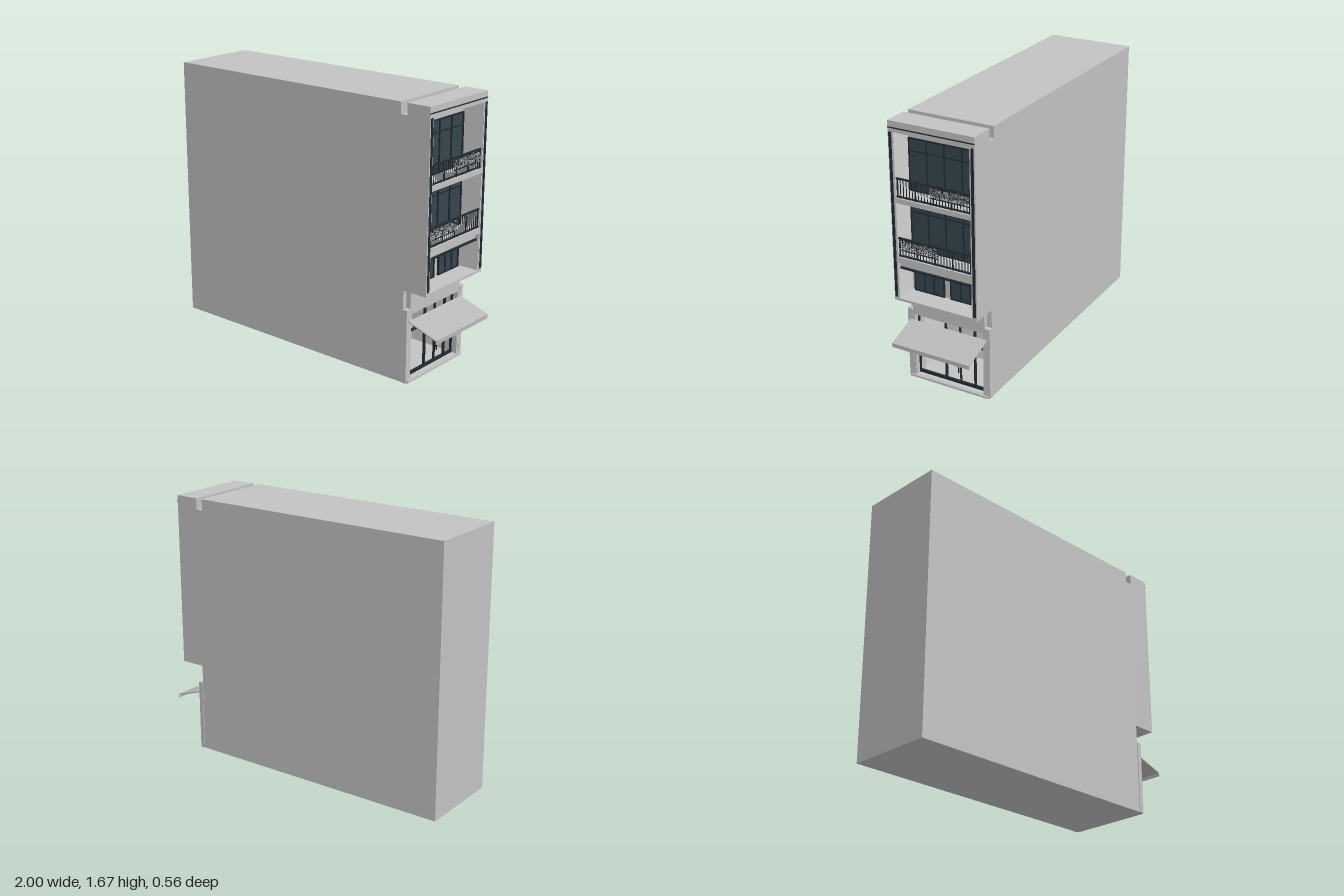
import * as THREE from 'three';

export function createModel() {
  const root = new THREE.Group();
  const mat = (name, color) => {
    const m = new THREE.MeshStandardMaterial({ color });
    m.name = name;
    return m;
  };
  const wall = mat('grey render', 0xc2c2c2);
  const inner = mat('pale inner wall', 0xd2d2d2);
  const glass = mat('dark glass', 0x36454e);
  const frame = mat('charcoal metal', 0x222b30);
  const canopy = mat('awning grey', 0xb8b8b8);

  const add = (name, geo, m, parent = root) => {
    const mesh = new THREE.Mesh(geo, m);
    mesh.name = name;
    parent.add(mesh);
    return mesh;
  };
  // Box given by its lower and upper corners
  const box = (name, m, x0, x1, y0, y1, z0, z1, parent = root) => {
    const mesh = add(name, new THREE.BoxGeometry(x1 - x0, y1 - y0, z1 - z0), m, parent);
    mesh.position.set((x0 + x1) / 2, (y0 + y1) / 2, (z0 + z1) / 2);
    return mesh;
  };
  const group = (name) => {
    const g = new THREE.Group();
    g.name = name;
    root.add(g);
    return g;
  };
  // Side profile extruded across the width
  const slab = (name, pts, z0, z1) => {
    const shape = new THREE.Shape(pts.map(([x, y]) => new THREE.Vector2(x, y)));
    const geo = new THREE.ExtrudeGeometry(shape, { depth: z1 - z0, bevelEnabled: false });
    geo.translate(0, 0, z0);
    return add(name, geo, wall);
  };

  const TOP = 1.675, BACK = 0.79, FRONT = 0.93, IN = 0.245, OUT = 0.277;
  const roof = [[FRONT, TOP], [0.775, TOP], [0.775, 1.605], [0.73, 1.605], [0.73, TOP], [-1, TOP]];

  // Core with shop room and three recessed balconies
  slab('buildingCore', [
    [-1, 0], [0.8, 0], [0.8, 0.015], [0.45, 0.015], [0.45, 0.425], [0.8, 0.425], [0.8, 0.575],
    [FRONT, 0.575], [FRONT, 0.59], [BACK, 0.59], [BACK, 0.785], [0.9, 0.785], [0.9, 0.82],
    [FRONT, 0.82], [FRONT, 0.855], [BACK, 0.855], [BACK, 1.19], [FRONT, 1.19], [FRONT, 1.22],
    [BACK, 1.22], [BACK, 1.61], [FRONT, 1.61], ...roof,
  ], -IN, IN);

  // Party walls with notched front corners, and their trim
  for (const s of [-1, 1]) {
    const span = (a, b) => (s > 0 ? [a, b] : [-b, -a]);
    slab('sideWall', [[-1, 0], [0.8, 0], [0.8, 0.46], [0.77, 0.46], [0.77, 0.575],
      [FRONT, 0.575], ...roof], ...span(IN, OUT));
    box('cornerColumn', wall, 0.771, 0.801, 0, 0.46, ...span(0.25, 0.281));
    box('shopJamb', wall, 0.7, 0.799, 0.015, 0.425, ...span(0.235, IN));
    box('facadeStrip', frame, FRONT, 0.935, 0.6, 1.61, ...span(0.254, 0.27));
    for (const [y0, y1] of [[0.59, 0.785], [0.855, 1.19], [1.22, 1.61]]) {
      box('balconyLining', inner, BACK, 0.928, y0, y1, ...span(IN - 0.003, IN));
    }
  }
  box('corniceLine', frame, FRONT, 0.932, 1.632, 1.639, -OUT, OUT);
  box('doorstep', wall, 0.8, 0.81, 0, 0.013, -0.27, 0.27);
  box('ledgeLine', frame, 0.895, 0.915, 0.776, 0.785, -IN, IN);
  box('topBeam', wall, BACK, 0.82, 1.575, 1.61, -0.242, 0.242);

  // Framed glazing: glass plate, border, mullions and optional transom
  const glazing = (name, x, y0, y1, z0, z1, panes, transom, w) => {
    const g = group(name);
    box('glass', glass, x, x + 0.004, y0, y1, z0, z1, g);
    for (let i = 0; i <= panes; i++) {
      const z = z0 + w / 2 + ((z1 - z0 - w) * i) / panes;
      box('mullion', frame, x, x + 0.012, y0, y1, z - w / 2, z + w / 2, g);
    }
    for (const y of [y0, y1 - w, ...(transom ? [transom] : [])]) {
      box('crossbar', frame, x, x + 0.011, y, y + w, z0, z1, g);
    }
  };
  glazing('upperBalconyDoors', BACK, 1.22, 1.54, -0.235, 0.235, 4, 1.46, 0.007);
  glazing('middleBalconyDoors', BACK, 0.855, 1.165, -0.235, 0.235, 4, 1.09, 0.007);
  glazing('leftWindow', BACK, 0.59, 0.77, -0.225, -0.02, 3, 0.722, 0.007);
  glazing('rightWindow', BACK, 0.59, 0.77, 0.02, 0.225, 3, 0.722, 0.007);

  // Ceiling lamps
  for (const y of [1.608, 1.188]) {
    for (const z of [-0.16, 0, 0.16]) {
      const lamp = add('ceilingLamp', new THREE.CylinderGeometry(0.01, 0.01, 0.006, 12), frame);
      lamp.position.set(0.86, y, z);
    }
  }

  // Railings: bars throughout and a scrollwork panel over one half
  let seed = 7;
  const rand = () => (seed = (seed * 16807) % 2147483647) / 2147483647;
  const railing = (y, side) => {
    const g = group('balconyRailing');
    const x = 0.918;
    for (const [a, b] of [[0.004, 0.011], [0.112, 0.12]]) {
      box('rail', frame, x - 0.006, x + 0.006, y + a, y + b, -IN, IN, g);
    }
    for (let i = 0; i <= 24; i++) {
      const z = -0.235 + (0.47 * i) / 24;
      const w = i % 6 === 0 ? 0.0035 : 0.0018;
      box('baluster', frame, x - w, x + w, y, y + 0.115, z - w, z + w, g);
    }
    const z0 = side > 0 ? -0.02 : -0.235;
    for (const h of [0.04, 0.102]) {
      box('panelRail', frame, x - 0.004, x + 0.004, y + h, y + h + 0.004, z0, z0 + 0.255, g);
    }
    const dark = new THREE.TorusGeometry(0.009, 0.0022, 4, 10);
    const pale = new THREE.TorusGeometry(0.006, 0.0014, 4, 8);
    for (let i = 0; i < 16; i++) {
      for (let j = 0; j < 4; j++) {
        const z = z0 + 0.01 + i * 0.0157, h = y + 0.051 + j * 0.0157;
        const a = add('scroll', dark, frame, g);
        a.rotation.y = Math.PI / 2;
        a.position.set(x, h, z);
        const b = add('scrollHighlight', pale, wall, g);
        b.rotation.y = Math.PI / 2;
        b.position.set(x + 0.003, h + (rand() - 0.5) * 0.012, z + (rand() - 0.5) * 0.012);
      }
    }
  };
  railing(1.22, -1);
  railing(0.855, 1);

  // Shopfront: slim frame, open to the pale room behind
  const shop = group('shopfront');
  const bar = (y0, y1, z0, z1) => box('shopFrame', frame, 0.75, 0.765, y0, y1, z0, z1, shop);
  bar(0.015, 0.032, -0.235, 0.235);
  bar(0.29, 0.302, -0.235, 0.235);
  bar(0.418, 0.425, -0.235, 0.235);
  for (const [z, w] of [[0.232, 0.006], [0.045, 0.01], [-0.055, 0.005], [-0.155, 0.01], [-0.232, 0.006]]) {
    bar(0.015, 0.425, z - w / 2, z + w / 2);
  }
  for (const z of [-0.045, -0.065]) {
    box('doorHandle', frame, 0.765, 0.775, 0.09, 0.17, z - 0.002, z + 0.002, shop);
  }
  box('shopBackWall', inner, 0.45, 0.455, 0.015, 0.425, -IN, IN, shop);
  for (const s of [-1, 1]) {
    const z = s * 0.2425;
    box('shopSideWall', inner, 0.45, 0.75, 0.015, 0.425, z - 0.0025, z + 0.0025, shop);
  }

  // Sloping awning with a hanging lip
  const awning = new THREE.Shape([[0.8, 0.382], [0.995, 0.316], [0.995, 0.297], [1, 0.297],
    [1, 0.322], [0.8, 0.389]].map(([x, y]) => new THREE.Vector2(x, y)));
  const awningGeo = new THREE.ExtrudeGeometry(awning, { depth: 0.524, bevelEnabled: false });
  awningGeo.translate(0, 0, -0.262);
  add('awning', awningGeo, canopy);

  return root;
}
